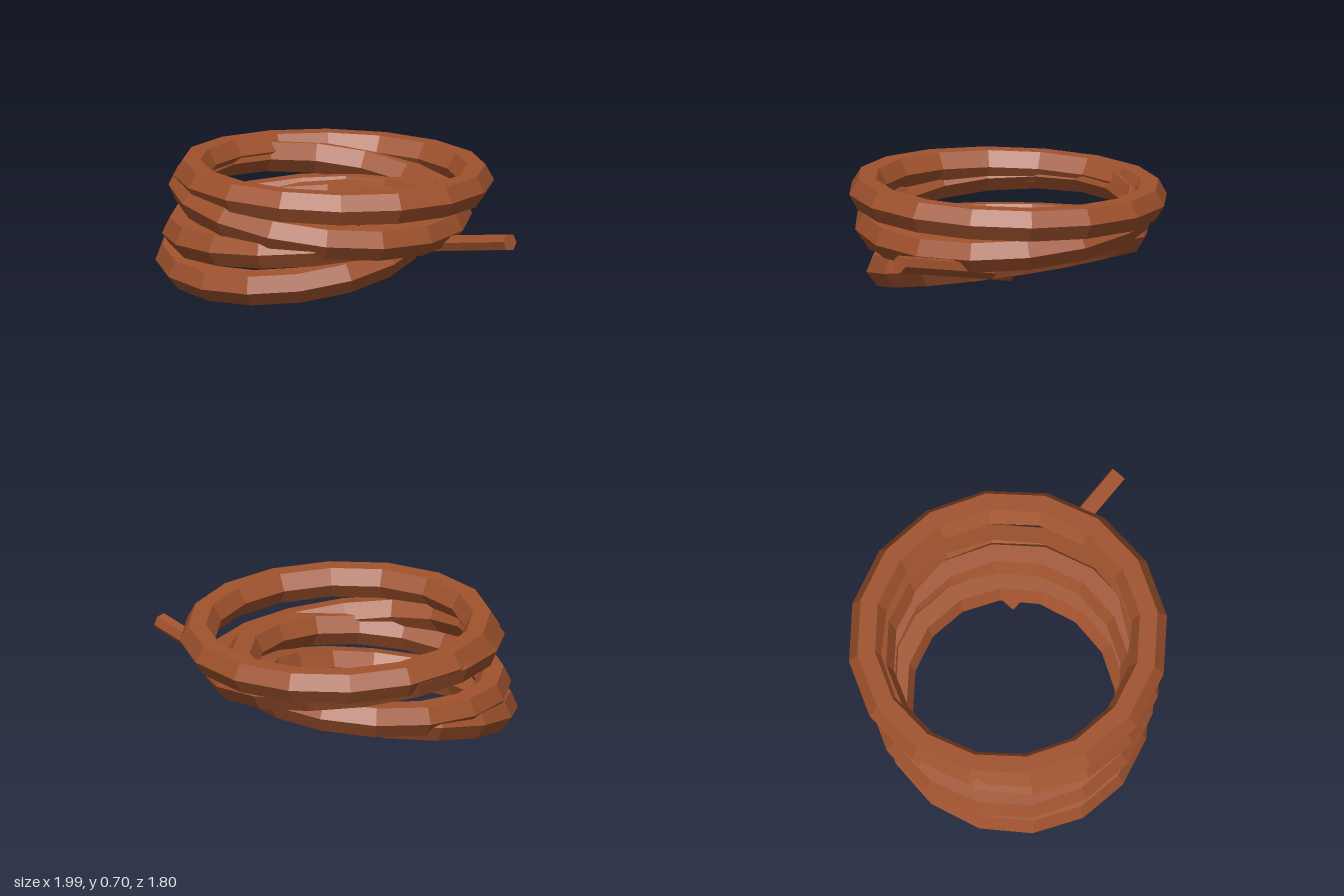
import * as THREE from 'three';

const sienna = new THREE.MeshStandardMaterial({ color: 0xa0522d, flatShading: true });
sienna.name = 'sienna';
const UP = new THREE.Vector3(0, 1, 0);

// Hexagonal-section ring whose plane rises by slopeX and slopeZ
function makeRing(name, radius, x, y, slopeX, slopeZ) {
  const geometry = new THREE.TorusGeometry(radius, 0.1, 6, 16).rotateX(-Math.PI / 2);
  const ring = new THREE.Mesh(geometry, sienna);
  ring.name = name;
  ring.position.set(x, y, 0);
  ring.quaternion.setFromUnitVectors(UP, new THREE.Vector3(-slopeX, 1, -slopeZ).normalize());
  return ring;
}

// Straight rod between two points
function makeRod(name, from, to, radius) {
  const axis = to.clone().sub(from);
  const rod = new THREE.Mesh(new THREE.CylinderGeometry(radius, radius, axis.length(), 6), sienna);
  rod.name = name;
  rod.position.copy(from).add(to).multiplyScalar(0.5);
  rod.quaternion.setFromUnitVectors(UP, axis.normalize());
  return rod;
}

export function createModel() {
  const group = new THREE.Group();
  group.name = 'coil';

  // Stacked loops, widest on top: radius, x, y, slopeX, slopeZ
  const loops = [
    ['bottomLoop', 0.675, -0.23, 0.21, 0.125, -0.125],
    ['lowerLoop', 0.715, -0.15, 0.333, 0.08, 0.015],
    ['upperLoop', 0.757, -0.075, 0.457, -0.11, -0.08],
    ['topLoop', 0.8, 0, 0.58, -0.027, 0.025],
  ];
  for (const loop of loops) group.add(makeRing(...loop));

  // Loose end poking out of the coil
  group.add(makeRod('looseEnd',
    new THREE.Vector3(0.34, 0.2, 0.045), new THREE.Vector3(0.955, 0.385, 0.762), 0.05));
  return group;
}
